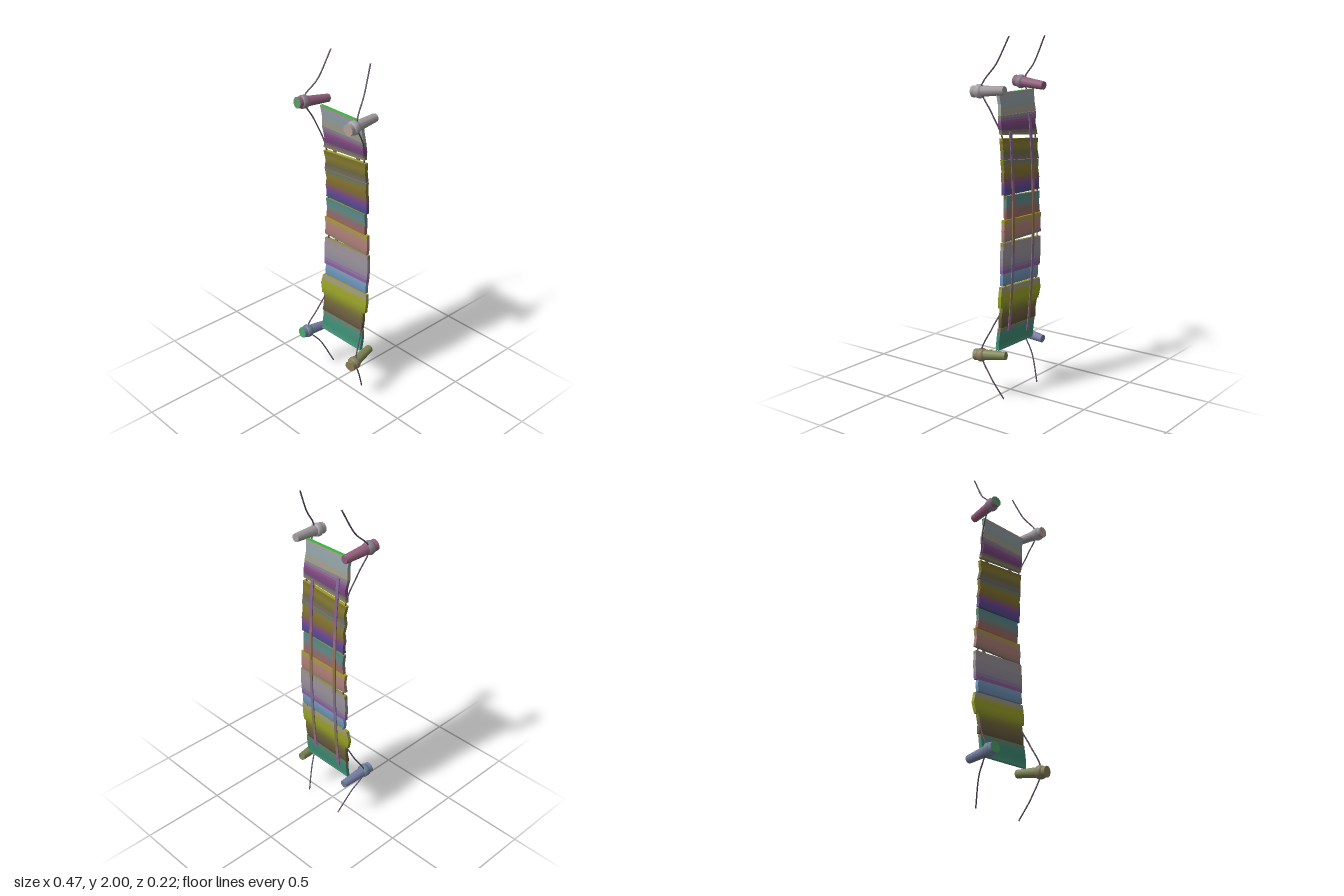
import * as THREE from 'three';

const V = (x, y, z) => new THREE.Vector3(x, y, z);
const paint = (color, flatShading = false) => new THREE.MeshStandardMaterial({ color, flatShading });
const mix = THREE.MathUtils.lerp;

// depth of the sagging walkway at height y
const sag = (y) => -0.073 + 0.042 * ((y - 1) / 0.71) ** 2;

// push a flat geometry onto the sagging curve
function bend(geo) {
  const p = geo.attributes.position;
  for (let i = 0; i < p.count; i++) p.setZ(i, p.getZ(i) + sag(p.getY(i)));
  geo.computeVertexNormals();
  return geo;
}

// colour at t (0..1) along a list of stops
function shade(stops, t) {
  const f = t * (stops.length - 1);
  const i = Math.min(Math.floor(f), stops.length - 2);
  return new THREE.Color(stops[i]).lerp(new THREE.Color(stops[i + 1]), f - i);
}

// plank with rough ends, made of thin strips that blend from one colour to the next
function plank([xl, xr, tl, tr, bl, br, ml, mr], stops, edgeColor) {
  const g = new THREE.Group();
  g.name = 'plank';
  const strips = 8;
  const left = (t) => new THREE.Vector2(xl + ml * (1 - Math.abs(2 * t - 1)), mix(tl, bl, t));
  const right = (t) => new THREE.Vector2(xr + mr * (1 - Math.abs(2 * t - 1)), mix(tr, br, t));
  for (let i = 0; i < strips; i++) {
    const a = i / strips, b = (i + 1) / strips;
    const shape = new THREE.Shape([left(b), right(b), right(a), left(a)]);
    const geo = new THREE.ExtrudeGeometry(shape, { depth: 0.02, bevelEnabled: false });
    geo.translate(0, 0, -0.01);
    const face = paint(shade(stops, (a + b) / 2), true);
    const strip = new THREE.Mesh(bend(geo), [face, i === 0 ? paint(edgeColor, true) : face]);
    strip.name = 'plankStrip';
    g.add(strip);
  }
  return g;
}

// strap along the back of the planks
function strap(x, top, bottom, stops) {
  const g = new THREE.Group();
  g.name = 'strap';
  const pieces = 20, h = (top - bottom) / pieces;
  for (let i = 0; i < pieces; i++) {
    const geo = new THREE.BoxGeometry(0.02, h, 0.008);
    geo.translate(x, top - (i + 0.5) * h, -0.011);
    const piece = new THREE.Mesh(bend(geo), paint(shade(stops, (i + 0.5) / pieces), true));
    piece.name = 'strapPiece';
    g.add(piece);
  }
  return g;
}

// tapered post with a bound collar, running from back to front
function post(back, front, shaftColor, collarColor, capColor) {
  const g = new THREE.Group();
  g.name = 'post';
  const len = back.distanceTo(front);
  const side = paint(shaftColor);
  const shaft = new THREE.Mesh(
    new THREE.CylinderGeometry(0.032, 0.023, len, 10), [side, paint(capColor), side]);
  shaft.name = 'postShaft';
  const profile = [[0.026, -0.02], [0.034, -0.018], [0.038, -0.008], [0.038, 0.008], [0.035, 0.018], [0.026, 0.02]];
  const collar = new THREE.Mesh(
    new THREE.LatheGeometry(profile.map(([r, y]) => new THREE.Vector2(r, y)), 10), paint(collarColor));
  collar.name = 'postCollar';
  collar.position.y = len / 2 - 0.042;
  g.add(shaft, collar);
  g.position.copy(back).lerp(front, 0.5);
  g.quaternion.setFromUnitVectors(V(0, 1, 0), front.clone().sub(back).normalize());
  return g;
}

function rope(points) {
  const curve = new THREE.CatmullRomCurve3(points, false, 'centripetal');
  const mesh = new THREE.Mesh(new THREE.TubeGeometry(curve, 80, 0.004, 6), paint(0x5c5064));
  mesh.name = 'rope';
  return mesh;
}

export function createModel() {
  const model = new THREE.Group();
  model.name = 'ropeBridge';

  // planks: [left x, right x, top left, top right, bottom left, bottom right, end offsets], colours, top edge
  const planks = [
    [[-0.165, 0.157, 1.71, 1.705, 1.59, 1.587, 0.008, -0.008], ['#a59c9a', '#8fa3ac', '#97a09a', '#a89a88'], '#34b834'],
    [[-0.165, 0.156, 1.588, 1.586, 1.46, 1.487, 0.012, 0.004], ['#8a8a98', '#8c4c8a', '#6a4478', '#8f8a5c'], '#6a8a50'],
    [[-0.168, 0.16, 1.44, 1.468, 1.327, 1.355, 0.012, -0.004], ['#7a7030', '#8a7c30', '#6e6c3c', '#7a6a70'], '#9a9a20'],
    [[-0.166, 0.162, 1.325, 1.353, 1.222, 1.238, 0.01, -0.006], ['#5f7870', '#8a7830', '#82702c', '#7a5a60'], '#8a8a20'],
    [[-0.164, 0.16, 1.222, 1.238, 1.156, 1.163, 0.005, 0], ['#8a4a80', '#5c4a98', '#504a80'], '#7a6a60'],
    [[-0.167, 0.144, 1.144, 1.158, 1.026, 1.03, 0.008, 0.003], ['#4d8a88', '#628a88', '#8a7070', '#a86458'], '#7a8a40'],
    [[-0.18, 0.163, 1.02, 1.028, 0.91, 0.908, 0.008, 0.004], ['#a8a030', '#b08478', '#b07c78', '#8a7a70'], '#9a9a20'],
    [[-0.178, 0.172, 0.884, 0.905, 0.715, 0.732, -0.004, 0.004], ['#a09498', '#9c949c', '#948c9c', '#8a50a0'], '#8a8a40'],
    [[-0.163, 0.168, 0.715, 0.732, 0.648, 0.664, -0.004, 0], ['#80a0b8', '#6c94c0', '#6c88a0'], '#6c88a0'],
    [[-0.185, 0.174, 0.637, 0.656, 0.516, 0.536, -0.015, 0.004], ['#a098a0', '#a0a428', '#98a428', '#8a8a2c'], '#9a9a20'],
    [[-0.172, 0.157, 0.516, 0.536, 0.405, 0.416, 0.008, 0.005], ['#808830', '#746838', '#685c44', '#5c5030'], '#808830'],
    [[-0.163, 0.163, 0.404, 0.415, 0.283, 0.286, 0.002, 0.004], ['#6a8070', '#3f8c78', '#3c8c70', '#4a9880'], '#8a6a50'],
  ];
  planks.forEach((p) => model.add(plank(...p)));

  // two straps
  const strapStops = ['#8a6a9c', '#84608c', '#9c7068', '#8c7438', '#7c70a0', '#8a7838', '#94649c'];
  model.add(strap(-0.1, 1.58, 0.34, strapStops), strap(0.085, 1.5, 0.39, strapStops));

  // four corner posts
  model.add(
    post(V(-0.18, 1.728, -0.095), V(-0.198, 1.748, 0.11), '#94607c', '#8a7c8c', '#5c9468'),
    post(V(0.178, 1.722, -0.095), V(0.188, 1.71, 0.107), '#a09a9c', '#a8a4a8', '#b8a49c'),
    post(V(-0.187, 0.272, -0.095), V(-0.196, 0.29, 0.11), '#747ca0', '#6c8494', '#4ca468'),
    post(V(0.168, 0.27, -0.095), V(0.203, 0.25, 0.095), '#7c8454', '#8c7c60', '#94805c'),
  );

  // side ropes: anchored end, over a post, along the planks, over a post, anchored end
  const along = (x) => [1.46, 1.2, 1, 0.8, 0.54].map((y) => V(x, y, sag(y)));
  model.add(
    rope([V(-0.17, 2, -0.106), V(-0.185, 1.85, -0.025), V(-0.208, 1.755, 0.055), V(-0.19, 1.62, -0.005),
      ...along(-0.156), V(-0.185, 0.42, -0.01), V(-0.208, 0.29, 0.055), V(-0.18, 0.17, -0.025), V(-0.138, 0.022, -0.09)]),
    rope([V(0.138, 2, -0.094), V(0.162, 1.86, -0.03), V(0.192, 1.73, 0.05), V(0.178, 1.6, -0.01),
      ...along(0.142), V(0.178, 0.42, -0.01), V(0.203, 0.27, 0.05), V(0.183, 0.13, 0), V(0.143, 0.002, -0.06)]),
  );
  return model;
}
